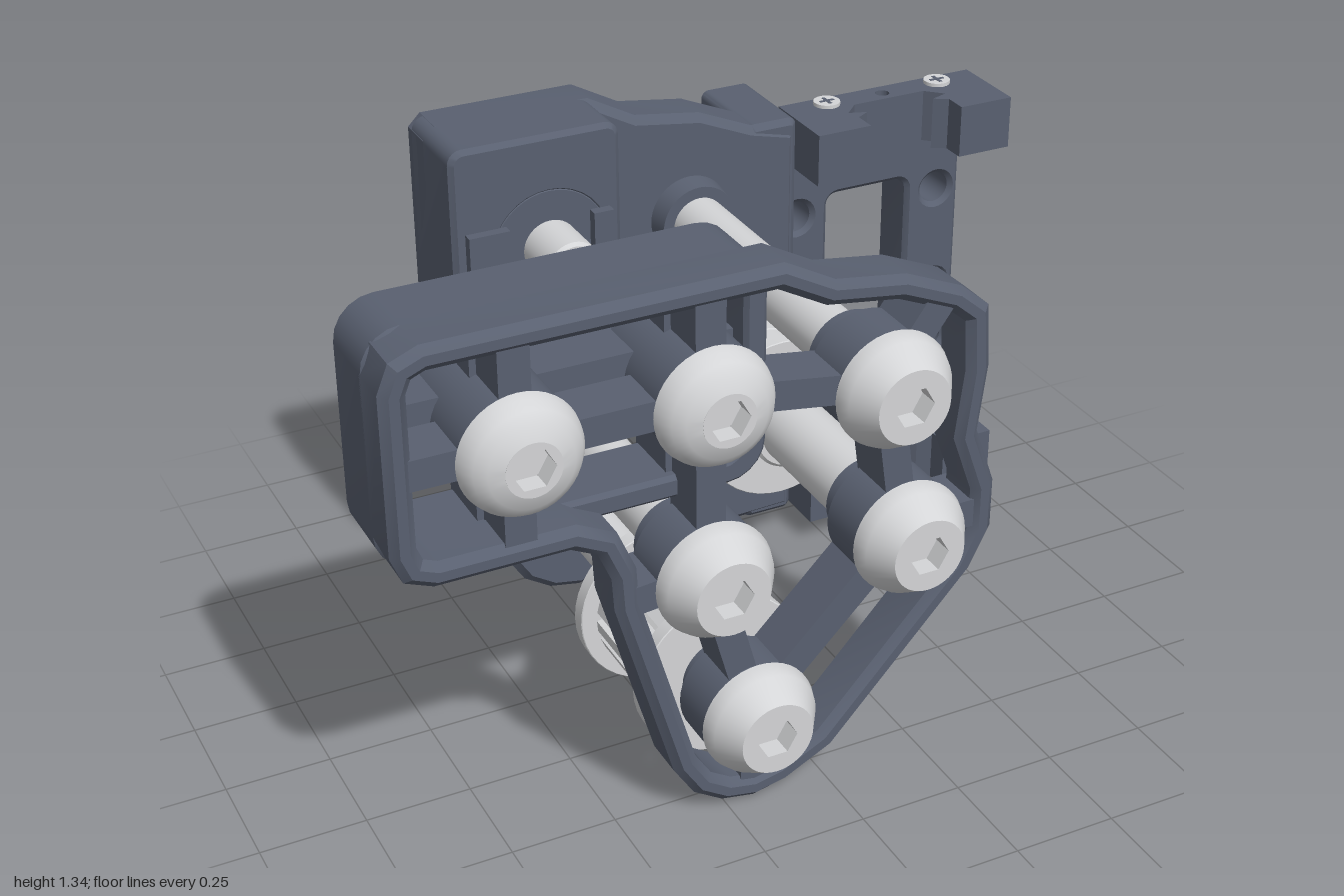
import * as THREE from 'three';
import { toCreasedNormals } from 'three/addons/utils/BufferGeometryUtils.js';

const plastic = new THREE.MeshStandardMaterial({ color: 0x596070 });
plastic.name = 'dark slate plastic';
const steel = new THREE.MeshStandardMaterial({ color: 0xd4d5d7 });
steel.name = 'light steel';

const poly = pts => pts.map(p => new THREE.Vector2(p[0], p[1]));
// outline turned counter-clockwise, so walls always face outwards
const ccw = pts => {
  const v = poly(pts);
  return THREE.ShapeUtils.isClockWise(v) ? v.reverse() : v;
};
const circle = (x, y, r, n = 24) => Array.from({ length: n }, (_, i) => {
  const a = (i / n) * Math.PI * 2;
  return [x + r * Math.cos(a), y + r * Math.sin(a)];
});

// rounded rectangle as a list of points
function roundRect(x0, y0, x1, y1, r) {
  const out = [];
  [[x1 - r, y1 - r], [x0 + r, y1 - r], [x0 + r, y0 + r], [x1 - r, y0 + r]].forEach(([cx, cy], q) => {
    for (let i = 0; i <= 5; i++) {
      const a = (q + i / 5) * Math.PI / 2;
      out.push([cx + r * Math.cos(a), cy + r * Math.sin(a)]);
    }
  });
  return out;
}

// moves each edge of a clockwise outline inwards by d
function inset(pts, d) {
  const n = pts.length;
  return pts.map((p, i) => {
    const a = pts[(i + n - 1) % n], b = pts[(i + 1) % n];
    const u = new THREE.Vector2(p[0] - a[0], p[1] - a[1]).normalize();
    const v = new THREE.Vector2(b[0] - p[0], b[1] - p[1]).normalize();
    const m = new THREE.Vector2(u.y + v.y, -u.x - v.x).normalize();
    const k = d / Math.max(0.5, m.x * u.y - m.y * u.x);
    return [p[0] + m.x * k, p[1] + m.y * k];
  });
}

function add(parent, name, geo, mat, x = 0, y = 0, z = 0) {
  const m = new THREE.Mesh(geo, mat);
  m.name = name;
  m.position.set(x, y, z);
  parent.add(m);
  return m;
}

// flat outline extruded from z0 to z1 with chamfered edges
function slab(pts, z0, z1, bevel = 0, holes = []) {
  const s = new THREE.Shape(ccw(pts));
  holes.forEach(h => s.holes.push(new THREE.Path(ccw(h).reverse())));
  const g = new THREE.ExtrudeGeometry(s, {
    depth: z1 - z0 - 2 * bevel, bevelEnabled: bevel > 0, bevelSize: bevel,
    bevelThickness: bevel, bevelOffset: -bevel, bevelSegments: 1,
  });
  return toCreasedNormals(g.translate(0, 0, z0 + bevel), 0.5);
}

// turned part along z from (radius, z) points, z rising
function turned(pts, seg = 40) {
  return toCreasedNormals(new THREE.LatheGeometry(poly(pts), seg).rotateX(Math.PI / 2), 0.5);
}
const rod = (r, z0, z1, c = 0.008) => turned([[0, z0], [r - c, z0], [r, z0 + c], [r, z1 - c], [r - c, z1], [0, z1]]);
const block = (x0, y0, z0, x1, y1, z1) => new THREE.BoxGeometry(x1 - x0, y1 - y0, z1 - z0)
  .translate((x0 + x1) / 2, (y0 + y1) / 2, (z0 + z1) / 2);

// screw head with a hexagonal socket, facing +z
function screwHead(dome) {
  const g = new THREE.Group();
  g.name = 'screwHead';
  const top = dome ? 0.076 : 0.098;
  add(g, 'headBody', turned(dome
    ? [[0, 0], [0.137, 0], [0.132, 0.022], [0.118, 0.045], [0.094, 0.064], [0.06, top]]
    : [[0, 0], [0.137, 0], [0.137, 0.01], [0.127, 0.038], [0.088, top], [0.06, top]]), steel);
  add(g, 'socketRing', slab(circle(0, 0, 0.062, 32), 0.03, top, 0, [circle(0, 0, 0.048, 6)]), steel);
  add(g, 'socketFloor', rod(0.058, 0.01, top - 0.05), steel);
  return g;
}

const A0 = [-0.72, 1.06], A = [-0.29, 1.06], B = [0.135, 0.994];
const C = [-0.29, 0.638], D = [0.19, 0.608], E = [-0.18, 0.237];
// rounded lower nose shared by both brackets
const nose = [[-0.1, 0.02], [-0.18, 0.003], [-0.26, 0.018], [-0.33, 0.062], [-0.38, 0.14], [-0.515, 0.61]];
const shoulder = [[-0.12, 1.34], [0, 1.275], [0.17, 1.25], [0.31, 1.19]];

function buildFrontBracket() {
  const g = new THREE.Group();
  g.name = 'frontBracket';
  const outline = [[-0.91, 1.34], ...shoulder, [0.38, 1.13], [0.39, 0.98],
    [0.37, 0.82], [0.42, 0.68], [0.42, 0.56], [0.37, 0.46], [0.02, 0.08], ...nose,
    [-0.52, 0.69], [-0.55, 0.76], [-0.61, 0.79], [-0.91, 0.79],
    [-0.974, 0.816], [-1, 0.88], [-1, 1.25], [-0.974, 1.314]];
  add(g, 'frontRim', slab(outline, 0.44, 0.576, 0.018, [inset(outline, 0.058)]), plastic);
  add(g, 'armRim', slab(roundRect(-1, 0.79, -0.11, 1.34, 0.09), 0.3, 0.475, 0.01,
    [roundRect(-0.945, 0.845, -0.165, 1.285, 0.05)]), plastic);
  // ribs between the bolts and out to the rim
  const ribs = [[A0, A], [A, B], [A, C], [C, E], [E, D], [B, D], [[-0.97, 1.06], A0], [[-0.72, 0.82], [-0.72, 1.31]],
    [A, [-0.29, 1.31]], [B, [0.27, 1.18]], [D, [0.38, 0.61]], [C, [-0.48, 0.62]], [E, [-0.18, 0.03]]];
  for (const [p, q] of ribs) {
    const dx = q[0] - p[0], dy = q[1] - p[1];
    const m = add(g, 'rib', new THREE.BoxGeometry(Math.hypot(dx, dy), 0.07, 0.125), plastic,
      (p[0] + q[0]) / 2, (p[1] + q[1]) / 2, 0.503);
    m.rotation.z = Math.atan2(dy, dx);
  }
  for (const p of [B, C, D, E]) {
    add(g, 'boltBoss', rod(0.13, 0.44, 0.577), plastic, p[0], p[1]);
    add(g, 'bossCollar', rod(0.1, 0.38, 0.45), plastic, p[0], p[1]);
  }
  for (const p of [A0, A]) add(g, 'armBoss', rod(0.13, 0.3, 0.577), plastic, p[0], p[1]);
  // mounting face across the back of the arm, with locating tabs
  add(g, 'armBar', block(-0.97, 0.985, 0.3, -0.13, 1.135, 0.42), plastic);
  for (const x of [-0.72, -0.29]) add(g, 'armWeb', block(x - 0.05, 0.82, 0.302, x + 0.05, 1.31, 0.45), plastic);
  for (const [x0, x1] of [[-0.975, -0.83], [-0.625, -0.395], [-0.195, -0.14]])
    add(g, 'locatingTab', block(x0, 0.986, 0.27, x1, 1.134, 0.31), plastic);
  return g;
}

function buildBackBracket() {
  const g = new THREE.Group();
  g.name = 'backBracket';
  const outline = [[-0.5, 1.34], ...shoulder, [0.43, 1.16], [0.43, 0.08],
    [0.1, 0.07], [-0.02, 0.045], ...nose, [-0.53, 0.8], [-0.53, 1.31]];
  const opening = [[0.28, 0.46], [0.03, 0.24], [-0.02, 0.28], [-0.05, 0.36], [-0.14, 0.41], [-0.23, 0.47],
    [-0.17, 0.56], [-0.15, 0.68], [0, 0.69], [0.06, 0.65], [0.08, 0.54], [0.14, 0.48]];
  const recess = circle(A[0], A[1], 0.135, 32);
  add(g, 'backPlate', slab(outline, -0.53, -0.395, 0.02,
    [opening, recess, ...[B, C, D, E].map(p => circle(p[0], p[1], 0.024, 6))]), plastic);
  add(g, 'mountBlock', slab(roundRect(-0.53, 0.79, -0.11, 1.34, 0.035), -0.5, -0.255, 0.012, [recess]), plastic);
  add(g, 'recessFloor', rod(0.15, -0.42, -0.256), plastic, A[0], A[1]);
  for (const [x0, x1] of [[-0.5, -0.4], [-0.19, -0.14]])
    add(g, 'locatingTab', block(x0, 0.985, -0.26, x1, 1.135, -0.23), plastic);
  for (const p of [B, C, D, E])
    add(g, 'rodSeat', turned([[0.046, -0.4], [0.104, -0.4], [0.096, -0.34], [0.046, -0.34]]), plastic, p[0], p[1]);
  // stepped post and side wing
  add(g, 'sidePost', slab(roundRect(0.3, 0.07, 0.435, 1.19, 0.02), -0.675, -0.4, 0.015), plastic);
  const holes = [roundRect(0.605, 0.355, 0.84, 0.89, 0.03)];
  for (const x of [0.515, 0.93]) holes.push(circle(x, 0.845, 0.042), roundRect(x - 0.042, 0.36, x + 0.042, 0.605, 0.041));
  add(g, 'sideWing', slab(roundRect(0.36, 0.205, 1, 1.035, 0.06), -0.675, -0.54, 0.012, holes), plastic);
  return g;
}

// notched clamp above or below the wing; outline is drawn as (x, -z)
function buildClamp(y0, y1, screwY) {
  const g = new THREE.Group();
  g.name = 'railClamp';
  const half = [[0.275, 0.525], [0.275, 0.315], [0.13, 0.315], [0.13, 0.375], [0.095, 0.395], [0.14, 0.41], [0.1, 0.45]];
  const pts = [...half, ...half.slice().reverse().map(([x, z]) => [-x, z])].map(([x, z]) => [x + 0.7225, z]);
  add(g, 'clampBody', slab(pts, y0, y1, 0, [circle(0.7225, 0.485, 0.018)]).rotateX(-Math.PI / 2), plastic);
  for (const x of [0.5625, 0.8825]) {
    add(g, 'clampScrew', new THREE.CylinderGeometry(0.034, 0.034, 0.012, 20), steel, x, screwY, -0.485);
    for (const [w, d] of [[0.04, 0.009], [0.009, 0.04]])
      add(g, 'crossSlot', new THREE.BoxGeometry(w, 0.014, d), plastic, x, screwY, -0.485);
  }
  return g;
}

function buildPulleys(g) {
  // toothed drive pulley
  const teeth = [];
  for (let i = 0; i < 20; i++)
    for (const [f, r] of [[0, 0.167], [0.55, 0.167], [0.63, 0.145], [0.92, 0.145]]) {
      const a = ((i + f) / 20) * Math.PI * 2;
      teeth.push([r * Math.cos(a), r * Math.sin(a)]);
    }
  const drive = new THREE.Group();
  drive.name = 'toothedPulley';
  drive.position.set(E[0], E[1], 0);
  add(drive, 'teeth', slab(teeth, 0.07, 0.37), steel);
  add(drive, 'flange', rod(0.207, 0.36, 0.4, 0.002), steel);
  add(drive, 'flange', rod(0.207, 0.038, 0.078, 0.002), steel);
  add(drive, 'spacer', rod(0.105, -0.018, 0.036), steel);
  // smooth idler with grooved bearings
  const idler = new THREE.Group();
  idler.name = 'idlerPulley';
  idler.position.set(D[0], D[1], 0);
  const prof = [[0, -0.31]];
  for (let i = 0; i < 3; i++) {
    const z = -0.31 + i * 0.091;
    prof.push([0.177, z], [0.181, z + 0.004], [0.181, z + 0.087], [0.177, z + 0.091]);
  }
  prof.push([0, -0.037]);
  add(idler, 'bearings', turned(prof, 48), steel);
  add(idler, 'flange', rod(0.207, -0.338, -0.311, 0.002), steel);
  add(idler, 'flange', rod(0.207, -0.036, -0.008, 0.002), steel);
  add(idler, 'spacer', rod(0.105, -0.006, 0.05), steel);
  add(idler, 'sleeve', rod(0.083, 0.04, 0.4), steel);
  g.add(drive, idler);
}

export function createModel() {
  const model = new THREE.Group();
  model.name = 'beltTensionerBracket';
  model.add(buildFrontBracket(), buildBackBracket());
  model.add(buildClamp(1.038, 1.172, 1.175), buildClamp(0.068, 0.205, 0.066));
  buildPulleys(model);
  // cross rods
  for (const p of [B, C, D, E]) add(model, 'crossRod', rod(0.068, -0.41, 0.45), steel, p[0], p[1]);
  // front screw heads and short screw ends
  for (const p of [A0, A, B, C, D, E]) {
    const short = p === A0 || p === A;
    const h = screwHead(short);
    h.position.set(p[0], p[1], 0.576);
    model.add(h);
    if (short) add(model, 'screwEnd', rod(0.068, 0.19, 0.4), steel, p[0], p[1]);
  }
  // recessed rear screw
  const rear = screwHead(true);
  rear.position.set(A[0], A[1], -0.425);
  rear.rotation.y = Math.PI;
  model.add(rear);
  add(model, 'screwEnd', rod(0.068, -0.35, -0.118), steel, A[0], A[1]);
  return model;
}
